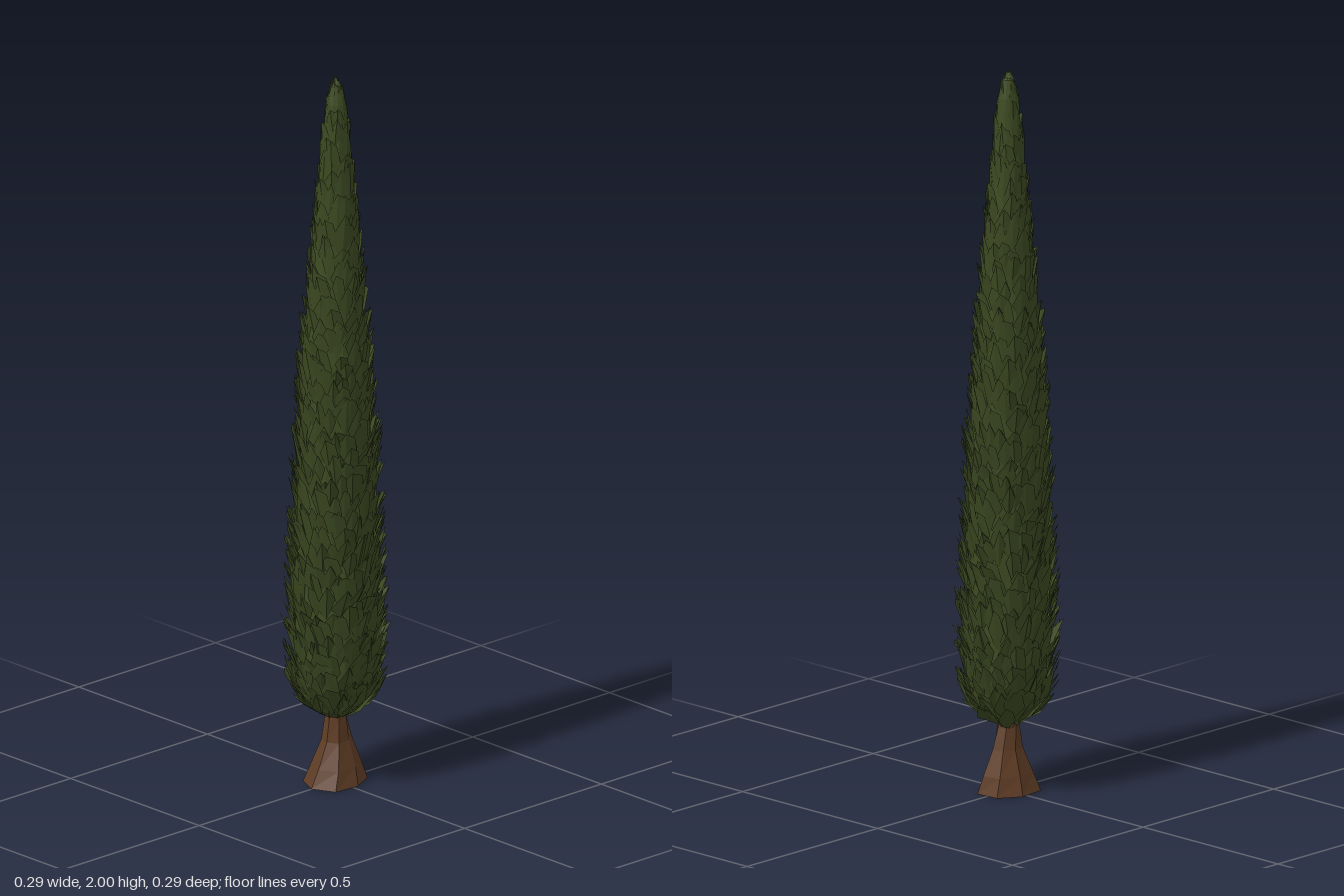
import * as THREE from 'three';

// Crown outline: [height, outer radius]
const OUTLINE = [
  [0.18, 0.022], [0.21, 0.085], [0.25, 0.118], [0.32, 0.132], [0.45, 0.139], [0.6, 0.134],
  [0.8, 0.126], [1.0, 0.118], [1.2, 0.106], [1.4, 0.086], [1.6, 0.066],
  [1.8, 0.047], [1.92, 0.034], [1.97, 0.02], [2.0, 0.004],
];

function crownRadius(y) {
  for (let i = 1; i < OUTLINE.length; i++) {
    const [y0, r0] = OUTLINE[i - 1], [y1, r1] = OUTLINE[i];
    if (y <= y1) return THREE.MathUtils.lerp(r0, r1, Math.max(0, (y - y0) / (y1 - y0)));
  }
  return 0.004;
}

function seeded(seed) {
  return () => {
    seed = (seed * 16807) % 2147483647;
    return seed / 2147483647;
  };
}

function flatGeometry(positions) {
  const geometry = new THREE.BufferGeometry();
  geometry.setAttribute('position', new THREE.Float32BufferAttribute(positions, 3));
  geometry.computeVertexNormals();
  return geometry;
}

const polar = (angle, radius, y) => [Math.sin(angle) * radius, y, Math.cos(angle) * radius];

// One spray of foliage: a folded, ragged-tipped blade leaning up and outward
function addSpray(out, angle, y, height, width, tipScale, skew) {
  const top = Math.min(y + height, 2);
  const h = top - y;
  const rBase = crownRadius(y) * 0.78;
  const rTip = crownRadius(top) * tipScale;
  const rMid = Math.max(crownRadius(y + h * 0.55) * 0.93, (rBase + rTip) / 2);
  const sweep = (r) => Math.min(0.75, width / Math.max(r, 0.02));
  const a = sweep(rMid);
  const base = polar(angle, rBase, y);
  const right = polar(angle + a, rMid * 0.94, y + h * (0.5 + skew * 0.2));
  const left = polar(angle - a, rMid * 0.94, y + h * (0.5 - skew * 0.2));
  const shoulder = polar(angle + a * 0.55, rTip * 0.97, y + h * 0.88);
  const tip = polar(angle + skew * a * 0.5, rTip, top);
  out.push(...base, ...right, ...tip, ...right, ...shoulder, ...tip, ...base, ...tip, ...left);
}

function createFoliage(material) {
  const random = seeded(4127);
  const positions = [];
  let y = 0.185;
  let ring = 0;
  while (y < 1.95) {
    const r = crownRadius(y + 0.03);
    const count = Math.max(6, Math.round(r * 150));
    for (let i = 0; i < count; i++) {
      const angle = ((i + (ring % 2) * 0.5 + (random() - 0.5) * 0.8) / count) * Math.PI * 2;
      addSpray(
        positions, angle,
        y + (random() - 0.5) * 0.03,
        0.07 + random() * 0.06,
        0.018 + random() * 0.014,
        0.96 + random() * 0.13,
        random() * 2 - 1,
      );
    }
    y += y < 0.3 ? 0.025 : 0.036;
    ring++;
  }
  // Closing sprays at the very top
  for (let i = 0; i < 5; i++) addSpray(positions, i * 1.257, 1.9, 0.1 - (i % 3) * 0.012, 0.014, 1.2, 0.4);
  const foliage = new THREE.Mesh(flatGeometry(positions), material);
  foliage.name = 'foliageSprays';
  return foliage;
}

// Solid inner mass that keeps the crown opaque
function createCore(material) {
  const profile = OUTLINE.map(([y, r]) => new THREE.Vector2(r * 0.8, Math.min(y + 0.005, 1.985)));
  profile.unshift(new THREE.Vector2(0, 0.185));
  profile.push(new THREE.Vector2(0, 1.99));
  const core = new THREE.Mesh(new THREE.LatheGeometry(profile, 12), material);
  core.name = 'foliageCore';
  return core;
}

// Seven-sided trunk with a flared, uneven foot
function createTrunk(material) {
  const sides = 7;
  // [height, radius in x, radius in z, centre z]
  const rings = [[0, 0.076, 0.088, 0.002], [0.05, 0.06, 0.07, -0.002], [0.12, 0.036, 0.043, -0.004],
    [0.18, 0.03, 0.032, 0], [0.26, 0.026, 0.027, 0]];
  const point = (k, i) => {
    const [y, rx, rz, cz] = rings[k];
    const a = ((i % sides) / sides) * Math.PI * 2 + k * 0.07;
    const bump = k < 3 ? 1 + 0.07 * Math.sin((i % sides) * 2.4) : 1;
    return [Math.sin(a) * rx * bump, y, cz + Math.cos(a) * rz * bump];
  };
  const positions = [];
  for (let i = 0; i < sides; i++) {
    for (let k = 0; k < rings.length - 1; k++) {
      const a = point(k, i), b = point(k, i + 1), c = point(k + 1, i + 1), d = point(k + 1, i);
      positions.push(...a, ...b, ...c, ...a, ...c, ...d);
    }
    positions.push(0, 0, 0, ...point(0, i + 1), ...point(0, i));
  }
  const trunk = new THREE.Mesh(flatGeometry(positions), material);
  trunk.name = 'trunk';
  return trunk;
}

export function createModel() {
  const leafMaterial = new THREE.MeshStandardMaterial({ color: 0x3d4a22, flatShading: true, side: THREE.DoubleSide });
  const barkMaterial = new THREE.MeshStandardMaterial({ color: 0x5f3d25, flatShading: true });

  const crown = new THREE.Group();
  crown.name = 'crown';
  crown.add(createCore(leafMaterial), createFoliage(leafMaterial));

  const tree = new THREE.Group();
  tree.name = 'cypressTree';
  tree.add(createTrunk(barkMaterial), crown);
  return tree;
}
